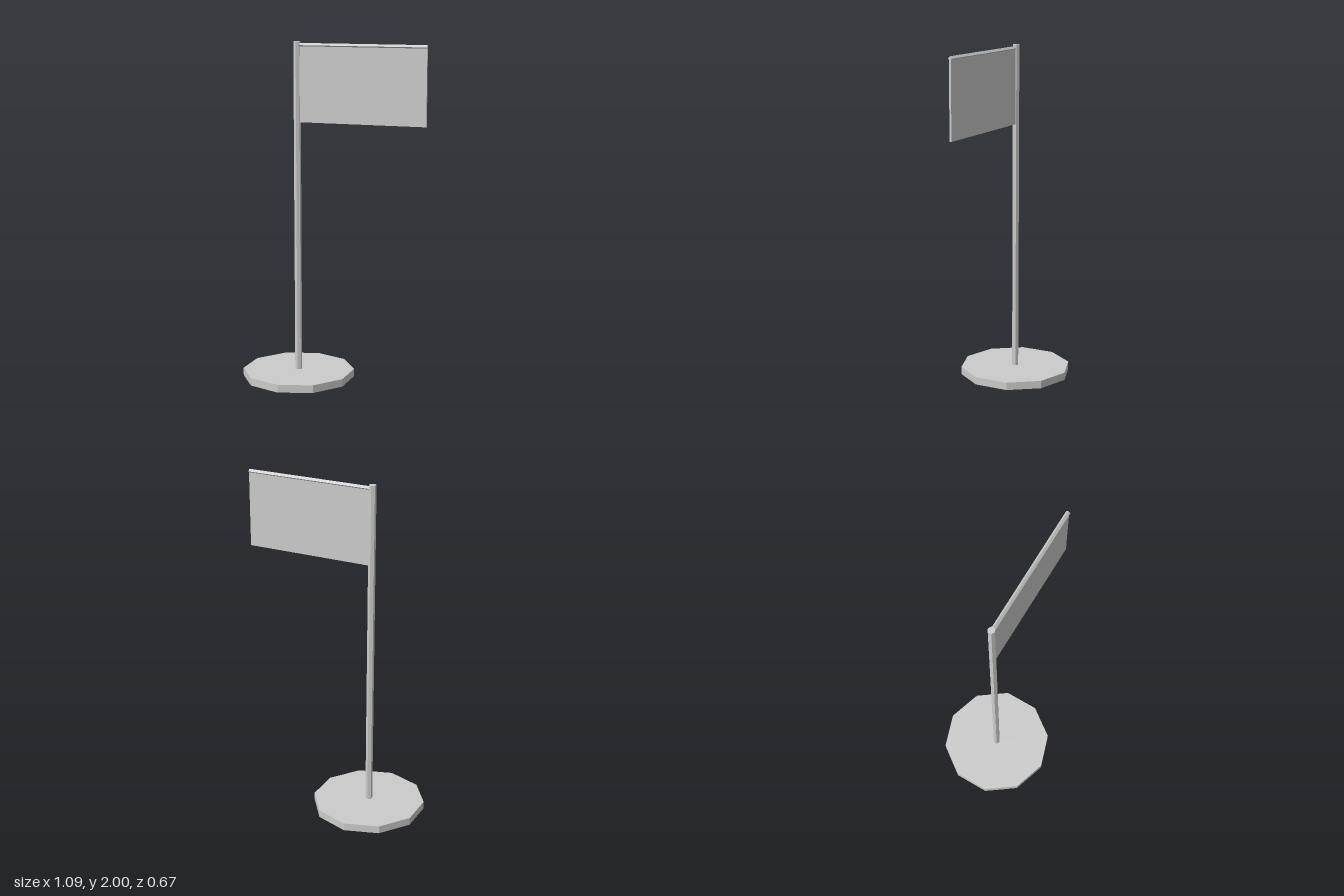
import * as THREE from 'three';

export function createModel() {
  const model = new THREE.Group();
  const grey = new THREE.MeshStandardMaterial({ color: 0xcccccc });
  grey.name = 'light grey';

  const poleX = -0.231;
  const flagLeft = -0.222, flagRight = 0.546;
  const flagWidth = flagRight - flagLeft, flagX = (flagLeft + flagRight) / 2;

  const add = (name, geometry, x, y) => {
    // non-indexed normals keep every facet flat
    const flat = geometry.toNonIndexed();
    flat.computeVertexNormals();
    const mesh = new THREE.Mesh(flat, grey);
    mesh.name = name;
    mesh.position.set(x, y, 0);
    model.add(mesh);
  };

  // ten-sided foot plate
  add('base', new THREE.CylinderGeometry(0.333, 0.333, 0.046, 10), poleX, 0.023);

  // six-sided upright
  add('pole', new THREE.CylinderGeometry(0.021, 0.021, 1.96, 6), poleX, 1.02);

  // diamond-section rod carrying the top edge of the flag
  add('flagRod', new THREE.CylinderGeometry(0.0125, 0.0125, flagWidth, 4).rotateZ(Math.PI / 2), flagX, 1.978);

  // flat cloth panel
  add('flagPanel', new THREE.BoxGeometry(flagWidth, 0.44, 0.012), flagX, 1.755);

  return model;
}
